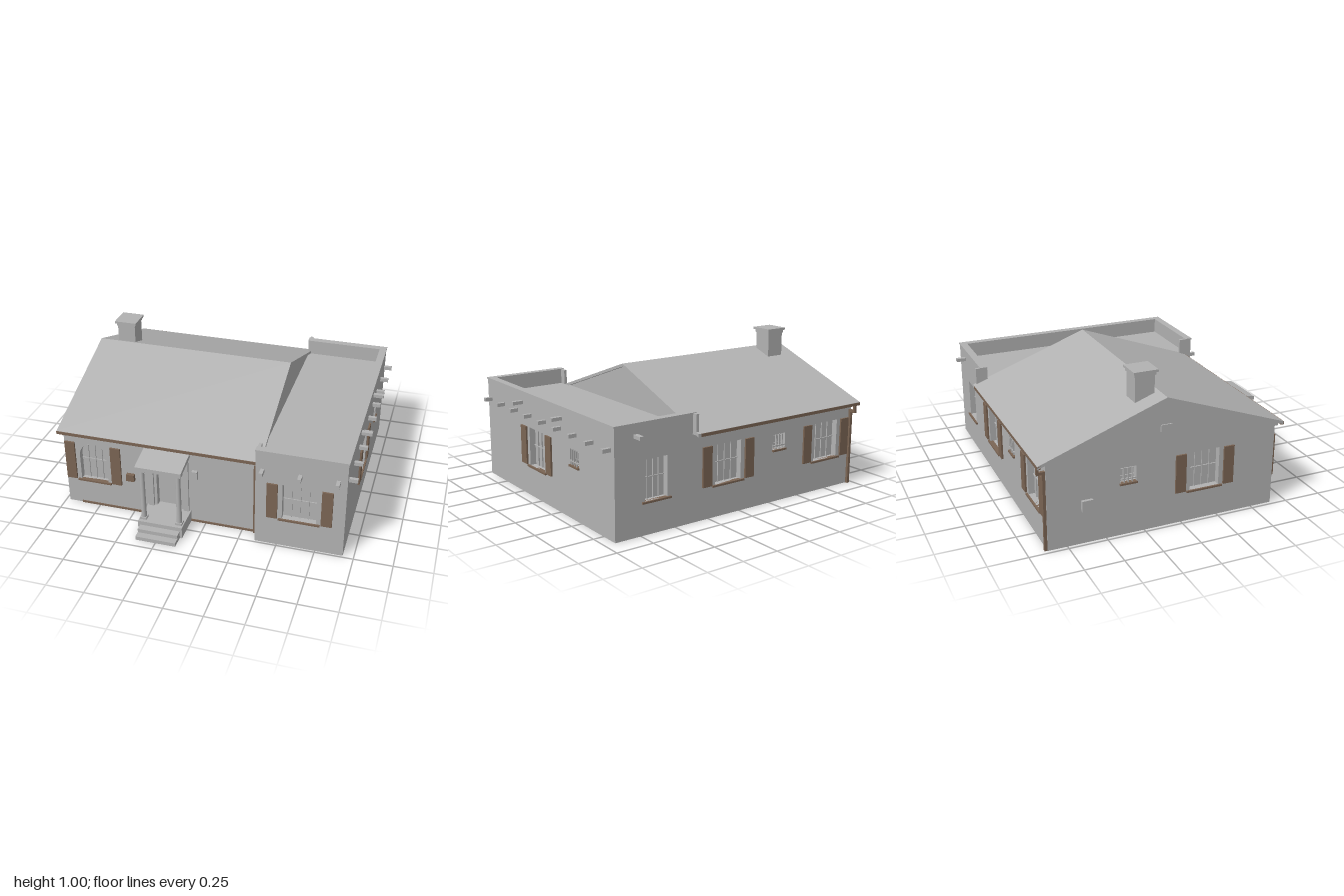
import * as THREE from 'three';

const T = 0.045; // wall thickness

export function createModel() {
  const house = new THREE.Group();
  house.name = 'house';
  const plaster = new THREE.MeshStandardMaterial({ color: 0xb2b2b2, side: THREE.DoubleSide });
  plaster.name = 'grey plaster';
  const wood = new THREE.MeshStandardMaterial({ color: 0x7b6554, side: THREE.DoubleSide });
  wood.name = 'brown wood';

  const add = (name, geo, mat = plaster, parent = house) => {
    const m = new THREE.Mesh(geo, mat);
    m.name = name;
    parent.add(m);
    return m;
  };
  // box given by its limits on each axis
  const box = (name, x0, x1, y0, y1, z0, z1, mat = plaster, parent = house) => {
    const m = add(name, new THREE.BoxGeometry(x1 - x0, y1 - y0, z1 - z0), mat, parent);
    m.position.set((x0 + x1) / 2, (y0 + y1) / 2, (z0 + z1) / 2);
    return m;
  };
  const polygon = (pts) => new THREE.Shape(pts.map(([a, b]) => new THREE.Vector2(a, b)));
  // (z, y) section swept along x from x0 to x1
  const sweepX = (name, pts, x0, x1) => {
    const m = add(name, new THREE.ExtrudeGeometry(polygon(pts), { depth: x1 - x0, bevelEnabled: false }));
    m.rotation.y = -Math.PI / 2;
    m.position.x = x1;
  };

  // opening outline, with an arched head of the given rise
  const outline = (o, Type) => {
    const p = new Type(), mid = (o.u0 + o.u1) / 2, rise = o.arch || 0;
    p.moveTo(o.u0, o.y0);
    p.lineTo(o.u1, o.y0);
    p.lineTo(o.u1, o.y1 - rise);
    if (rise) p.absellipse(mid, o.y1 - rise, (o.u1 - o.u0) / 2, rise, 0, Math.PI, false, 0);
    else p.lineTo(o.u0, o.y1);
    p.closePath();
    return p;
  };

  // wall in its own frame: u to the right, y up, outer face on z = 0
  const wall = (name, pts, openings, x, z, turn) => {
    const g = new THREE.Group();
    g.name = name;
    g.position.set(x, 0, z);
    g.rotation.y = turn;
    house.add(g);
    const shape = polygon(pts);
    openings.forEach((o) => shape.holes.push(outline(o, THREE.Path)));
    const geo = new THREE.ExtrudeGeometry(shape, { depth: T, bevelEnabled: false, curveSegments: 12 });
    add(name + 'Surface', geo.translate(0, 0, -T), plaster, g);
    openings.forEach((o) => fitOpening(o, g));
    return g;
  };

  const fitOpening = (o, g) => {
    const { u0, u1, y0, y1 } = o, w = u1 - u0, b = 0.005;
    add(o.door ? 'doorLeaf' : 'windowPane', new THREE.ShapeGeometry(outline(o, THREE.Shape), 12), plaster, g).position.z = -T + 0.004;
    if (o.door) return;
    // glazing bars
    const bars = o.small ? 2 : 3, top = y1 - (o.arch || 0) * 0.3;
    for (let i = 1; i <= bars; i++) {
      const u = u0 + (w * i) / (bars + 1);
      box('glazingBar', u - b / 2, u + b / 2, y0, i === 2 && !o.small ? y1 : top, -T + 0.003, -T + 0.012, plaster, g);
    }
    for (const f of o.small ? [0.3, 0.75] : [0.52]) {
      const y = y0 + (y1 - y0) * f;
      box('crossBar', u0, u1, y - b / 2, y + b / 2, -T + 0.003, -T + 0.012, plaster, g);
    }
    // projecting grille on the little windows
    if (o.small) {
      for (const f of [0.25, 0.5, 0.75]) {
        const u = u0 + w * f;
        box('grilleBar', u - 0.003, u + 0.003, y0, y1, -0.006, 0.004, plaster, g);
      }
      box('grilleRail', u0, u1, y0 + 0.02, y0 + 0.028, -0.006, 0.004, plaster, g);
    }
    const over = o.small ? 0.004 : 0.024;
    box('windowSill', u0 - over, u1 + over, y0 - 0.012, y0, -0.02, 0.012, wood, g);
    if (o.shutters) {
      box('shutter', u0 - 0.1, u0 - 0.03, y0, y1, 0, 0.012, wood, g);
      box('shutter', u1 + 0.03, u1 + 0.1, y0, y1, 0, 0.012, wood, g);
    }
  };

  const win = (u0, u1, extra = {}) => ({ u0, u1, y0: 0.21, y1: 0.465, ...extra });
  const shut = { shutters: true };
  const small = { y0: 0.35, y1: 0.45, small: true };
  const rect = (u0, u1, h) => [[u0, 0], [u1, 0], [u1, h], [u0, h]];

  // main house walls
  wall('mainFrontWall', rect(-0.975, 0.36, 0.568), [
    win(-0.87, -0.68, { y0: 0.195, y1: 0.478, arch: 0.1, shutters: true }),
    { u0: -0.335, u1: -0.165, y0: 0.08, y1: 0.435, arch: 0.08, door: true },
  ], 0, 0.645, 0);
  wall('mainBackWall', rect(-0.355, 0.975, 0.572), [
    win(-0.2, 0.005, shut), win(0.27, 0.375, small), win(0.635, 0.845, shut),
  ], 0, -0.875, Math.PI);
  const leftWall = wall('mainLeftWall',
    [[-0.875, 0], [0.645, 0], [0.645, 0.57], [-0.12, 0.845], [-0.875, 0.573]],
    [win(-0.41, -0.305, small), win(0.055, 0.255, shut)], -0.975, 0, -Math.PI / 2);
  box('gableVent', -0.15, -0.075, 0.64, 0.685, 0, 0.008, plaster, leftWall);
  box('meterBox', -0.66, -0.59, 0.22, 0.29, 0, 0.02, plaster, leftWall);

  // flat-roofed wing with parapet
  wall('wingFrontWall', rect(0.355, 0.93, 0.69), [win(0.53, 0.75, shut)], 0, 0.735, 0);
  wall('wingBackWall', rect(-0.93, -0.355, 0.69), [win(-0.72, -0.56)], 0, -0.875, Math.PI);
  wall('wingRightWall', rect(-0.735, 0.875, 0.69), [
    win(-0.14, 0.053, shut), win(0.38, 0.482, small),
  ], 0.93, 0, Math.PI / 2);
  box('wingFrontReturn', 0.355, 0.375, 0, 0.69, 0.645, 0.735);
  box('wingBackReturn', 0.355, 0.375, 0.56, 0.69, -0.91, -0.83);
  box('wingRoof', 0.36, 0.89, 0.58, 0.59, -0.835, 0.695);
  add('innerGable', new THREE.ShapeGeometry(polygon([[-0.875, 0.57], [0.645, 0.57], [-0.12, 0.845]])))
    .rotation.y = -Math.PI / 2;
  house.children.at(-1).position.x = 0.357;
  box('frontCoping', 0.352, 0.935, 0.684, 0.694, 0.69, 0.74);
  box('backCoping', 0.352, 0.935, 0.684, 0.694, -0.88, -0.83);
  box('rightCoping', 0.885, 0.935, 0.684, 0.694, -0.83, 0.69);

  // roof beam ends and water spouts
  for (let i = 0; i < 9; i++) {
    const z = -0.83 + i * 0.1895;
    box('beamEnd', 0.92, 0.985, 0.538, 0.562, z - 0.012, z + 0.012);
  }
  for (const x of [0.4, 0.64, 0.875]) box('beamEnd', x - 0.012, x + 0.012, 0.538, 0.562, 0.73, 0.79);
  for (const z of [0.235, -0.275]) box('waterSpout', 0.92, 1, 0.605, 0.627, z - 0.014, z + 0.014);
  box('waterSpout', 0.77, 0.8, 0.605, 0.627, -0.94, -0.87);

  // pitched roof
  sweepX('pitchedRoof', [[0.69, 0.573], [0.69, 0.553], [-0.12, 0.845], [-0.93, 0.553], [-0.93, 0.573], [-0.12, 0.865]], -1, 0.375);
  for (let i = 0; i < 10; i++) {
    const x = -0.96 + i * 0.144;
    box('rafterTail', x - 0.007, x + 0.007, 0.535, 0.562, 0.64, 0.675);
  }

  // gutters and downspouts
  box('frontGutter', -1, 0.352, 0.552, 0.572, 0.672, 0.694, wood);
  box('backGutter', -1, 0.352, 0.552, 0.572, -0.932, -0.91, wood);
  box('frontDownspout', 0.326, 0.344, 0, 0.56, 0.645, 0.663, wood);
  box('backDownspout', -0.972, -0.954, 0, 0.52, -0.893, -0.875, wood);
  box('downspoutElbow', -0.972, -0.954, 0.502, 0.52, -0.928, -0.875, wood);
  box('downspoutHead', -0.972, -0.954, 0.502, 0.56, -0.928, -0.914, wood);
  box('baseTrim', -0.88, -0.4, 0, 0.014, 0.645, 0.652, wood);
  box('baseTrim', -0.1, 0.33, 0, 0.014, 0.645, 0.652, wood);

  // chimney with flared cap
  box('chimneyStack', -0.88, -0.755, 0.72, 0.975, -0.275, -0.148);
  box('chimneyNeck', -0.886, -0.749, 0.97, 0.992, -0.281, -0.142);
  box('chimneyCap', -0.895, -0.74, 0.99, 1.005, -0.29, -0.13);

  // porch: steps, columns and sloping canopy
  box('porchPlatform', -0.4, -0.1, 0, 0.08, 0.645, 0.845);
  box('upperStep', -0.385, -0.115, 0, 0.052, 0.845, 0.893);
  box('lowerStep', -0.385, -0.115, 0, 0.026, 0.893, 0.94);
  for (const x of [-0.372, -0.13]) {
    add('porchColumn', new THREE.CylinderGeometry(0.015, 0.018, 0.38, 16)).position.set(x, 0.27, 0.8);
    box('columnBase', x - 0.022, x + 0.022, 0.08, 0.095, 0.778, 0.822);
    box('columnCapital', x - 0.024, x + 0.024, 0.45, 0.468, 0.776, 0.824);
    box('wallPilaster', x - 0.018, x + 0.018, 0.08, 0.468, 0.645, 0.66);
    box('canopyBeam', x - 0.018, x + 0.018, 0.465, 0.485, 0.645, 0.82);
  }
  box('canopyFrontBeam', -0.395, -0.108, 0.465, 0.485, 0.782, 0.82);
  sweepX('porchCanopy', [[0.645, 0.535], [0.645, 0.505], [0.84, 0.468], [0.84, 0.494]], -0.405, -0.098);

  // wall lamps and mailbox
  for (const x of [-0.433, -0.067]) box('wallLamp', x - 0.019, x + 0.019, 0.345, 0.405, 0.645, 0.67);
  box('mailbox', -0.54, -0.485, 0.25, 0.3, 0.645, 0.67, wood);

  return house;
}
